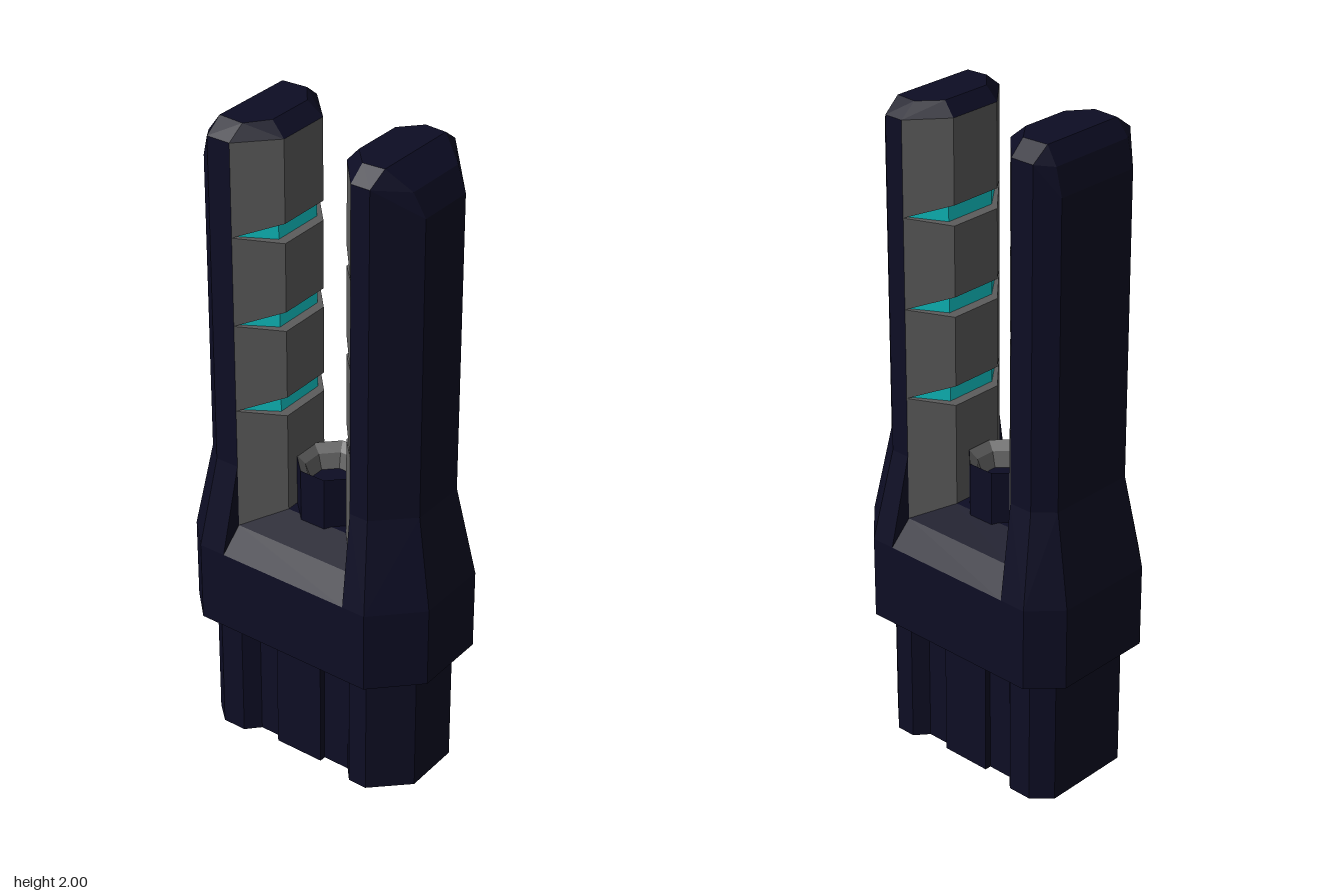
import * as THREE from 'three';
import { ConvexGeometry } from 'three/addons/geometries/ConvexGeometry.js';

const navy = new THREE.MeshStandardMaterial({ color: 0x0d0d24 });
navy.name = 'dark navy';
const grey = new THREE.MeshStandardMaterial({ color: 0x606060 });
grey.name = 'mid grey';
const cyan = new THREE.MeshStandardMaterial({ color: 0x12d4d6 });
cyan.name = 'glowing cyan';

export function createModel() {
  const group = new THREE.Group();

  function add(name, geometry, material) {
    const mesh = new THREE.Mesh(geometry, material);
    mesh.name = name;
    group.add(mesh);
  }
  // Faceted solid from corner points [x, y, z], mirrored left to right
  function solid(name, points, material) {
    const all = points.flatMap(([x, y, z]) => [new THREE.Vector3(x, y, z), new THREE.Vector3(-x, y, z)]);
    add(name, new ConvexGeometry(all), material);
  }
  // Half footprint [x, z] raised between two heights
  const prism = (half, y0, y1) => half.flatMap(([x, z]) => [[x, y0, z], [x, y1, z]]);

  // Corners of each prong [x, z]; the front one is chamfered more than the back one
  const sides = [
    {
      name: 'front', outer: [0.09, 0.345], side: [0.19, 0.24], seam: [0.19, 0.18], inner: [0.085, 0.09],
      glow: [[0.178, 0.18], [0.085, 0.111]],
      collar: [[0.115, 0.4], [0.245, 0.27]], saddleZ: 0.195,
      shoulder: [0.1, 1.94, 0.312], top: [[0.135, 0.247], [0.14, 0.18], [0.08, 0.125]],
    },
    {
      name: 'back', outer: [0.14, -0.345], side: [0.19, -0.29], seam: [0.19, -0.215], inner: [0.085, -0.115],
      glow: [[0.178, -0.215], [0.085, -0.137]],
      collar: [[0.16, -0.4], [0.245, -0.315]], saddleZ: -0.23,
      shoulder: [0.14, 1.95, -0.325], top: [[0.135, -0.29], [0.14, -0.21], [0.075, -0.16]],
    },
  ];
  const notches = [1.135, 1.408, 1.68];
  const capY = 1.96;

  for (const s of sides) {
    const at = ([x, z], y) => [x, y, z];

    // Lower end of the handle
    solid(s.name + 'BaseLobe', prism([s.outer, s.side, s.seam, s.inner], 0, 0.42), navy);

    // Shoulder tapering from the collar to the prong
    solid(s.name + 'Shoulder', [
      ...s.collar.map((p) => at(p, 0.67)), [0.245, 0.67, s.saddleZ], at(s.seam, 0.67),
      at(s.seam, 0.75), at(s.outer, 0.95), at(s.side, 0.95), at(s.seam, 0.95),
    ], navy);

    // Upright prong and its bevelled tip
    solid(s.name + 'Prong', [
      ...prism([s.side, s.seam], 0.95, capY), at(s.outer, 0.95), at(s.outer, 1.87), s.shoulder,
    ], navy);
    solid(s.name + 'ProngTip', [
      at(s.side, capY), at(s.seam, capY), at(s.inner, capY), s.shoulder, ...s.top.map((p) => at(p, 2)),
    ], navy);

    // Inner lining, cut by V notches
    const joints = [0.75, ...notches, capY];
    for (let i = 0; i < joints.length - 1; i++) {
      const low = joints[i] + (i === 0 ? 0.04 : 0.03);
      const high = joints[i + 1] - (i === joints.length - 2 ? 0 : 0.03);
      solid(s.name + 'Lining' + (i + 1), [
        at(s.seam, joints[i]), at(s.seam, joints[i + 1]), at(s.inner, low), at(s.inner, high),
      ], grey);
    }

    // Glowing strips inside the notches
    notches.forEach((y, i) => {
      solid(s.name + 'GlowStrip' + (i + 1), prism(s.glow, y - 0.024, y + 0.024), cyan);
    });
  }

  // Recessed middle of the base with a raised rib on each side
  solid('baseCore', prism([[0.15, 0.22], [0.15, -0.25]], 0, 0.42), navy);
  solid('baseRib', prism([[0.17, 0.06], [0.17, -0.1]], 0, 0.42), navy);

  // Collar and the ridged saddle between the prongs
  solid('collar', prism([...sides[0].collar, ...sides[1].collar], 0.415, 0.67), navy);
  solid('saddle', [
    [0.245, 0.67, 0.195], [0.245, 0.67, -0.23], [0.19, 0.75, 0.18], [0.19, 0.75, -0.215],
    [0.085, 0.79, 0.1], [0.085, 0.79, -0.125],
  ], navy);

  // Eight-sided emitter post with a funnel mouth
  function octagon(name, profile, material) {
    const points = profile.map(([r, y]) => new THREE.Vector2(r, y));
    const geometry = new THREE.LatheGeometry(points, 8, Math.PI / 8).toNonIndexed();
    geometry.computeVertexNormals();
    geometry.translate(0, 0, -0.018);
    add(name, geometry, material);
  }
  octagon('emitterPost', [[0.108, 0.7], [0.108, 0.95]], navy);
  octagon('emitterFunnel', [[0.108, 0.95], [0.083, 0.925], [0.067, 0.88]], grey);
  octagon('emitterFloor', [[0.067, 0.88], [0, 0.88]], navy);

  return group;
}
